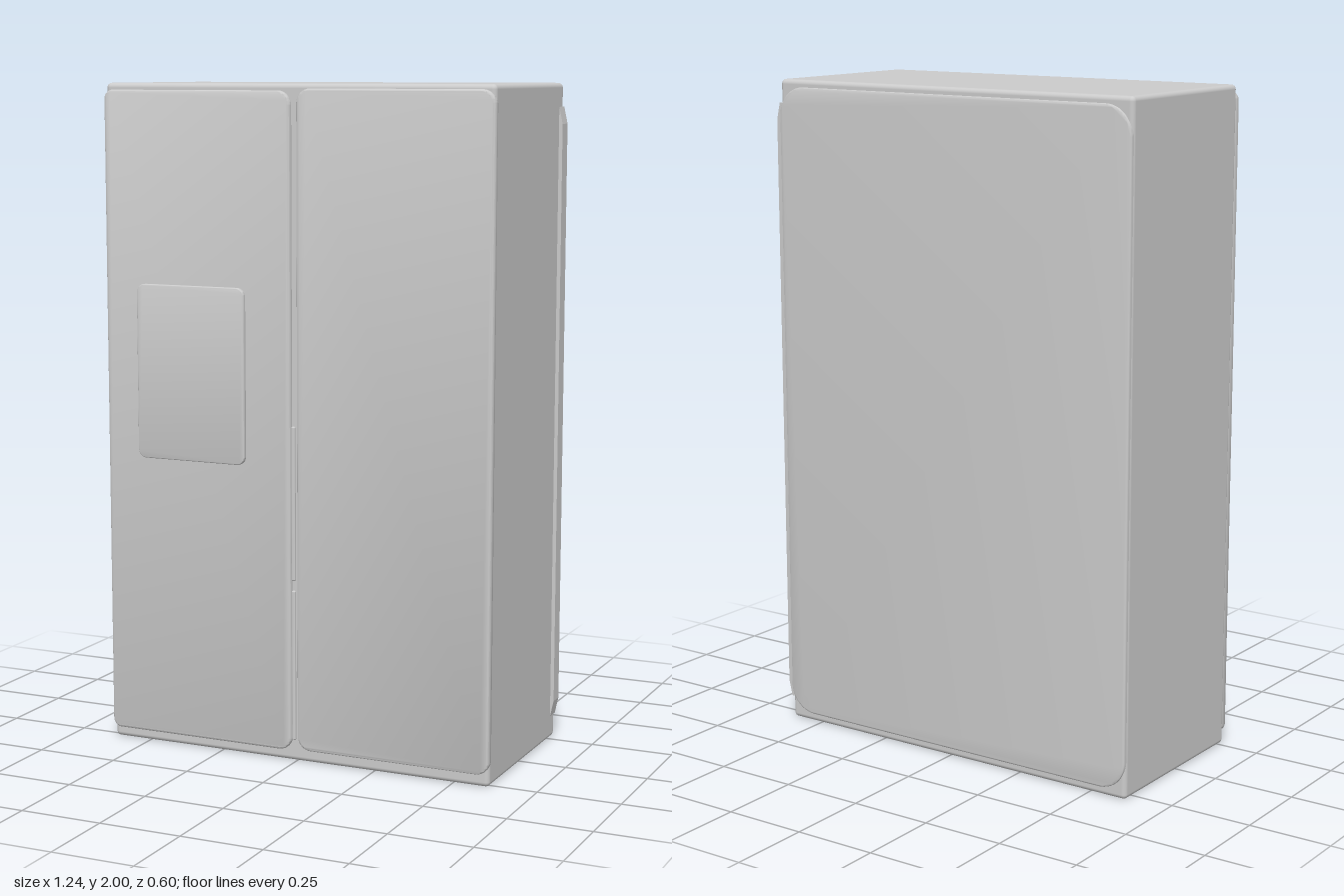
import * as THREE from 'three';
import { toCreasedNormals } from 'three/addons/utils/BufferGeometryUtils.js';
import { RoundedBoxGeometry } from 'three/addons/geometries/RoundedBoxGeometry.js';

const material = new THREE.MeshStandardMaterial({ color: 0xcccccc });

// Rectangle outline with its own radius for the -x and +x corners
function roundedRect(x0, x1, y0, y1, rl, rr) {
  const s = new THREE.Shape();
  s.moveTo(x0 + rl, y0);
  s.lineTo(x1 - rr, y0);
  s.absarc(x1 - rr, y0 + rr, rr, -Math.PI / 2, 0);
  s.absarc(x1 - rr, y1 - rr, rr, 0, Math.PI / 2);
  s.absarc(x0 + rl, y1 - rl, rl, Math.PI / 2, Math.PI);
  s.absarc(x0 + rl, y0 + rl, rl, Math.PI, Math.PI * 1.5);
  return s;
}

// Soft-edged panel spanning the given bounds
function panel(name, [x0, x1], [y0, y1], [z0, z1], rl, rr, b) {
  const shape = roundedRect(x0 + b, x1 - b, y0 + b, y1 - b, rl, rr);
  const geo = new THREE.ExtrudeGeometry(shape, {
    depth: z1 - z0 - 2 * b, bevelThickness: b, bevelSize: b, bevelSegments: 4, curveSegments: 8,
  });
  geo.translate(0, 0, z0 + b);
  const mesh = new THREE.Mesh(toCreasedNormals(geo, 0.6), material);
  mesh.name = name;
  return mesh;
}

function roundedBox(name, [x0, x1], [y0, y1], [z0, z1], r) {
  const mesh = new THREE.Mesh(new RoundedBoxGeometry(x1 - x0, y1 - y0, z1 - z0, 4, r), material);
  mesh.position.set((x0 + x1) / 2, (y0 + y1) / 2, (z0 + z1) / 2);
  mesh.name = name;
  return mesh;
}

export function createModel() {
  const group = new THREE.Group();
  group.name = 'refrigerator';

  // Cabinet and rounded back panel
  group.add(roundedBox('cabinet', [-0.622, 0.611], [0, 2], [-0.296, 0.274], 0.014));
  group.add(panel('backPanel', [-0.62, 0.611], [0.025, 1.978], [-0.302, -0.27], 0.08, 0.08, 0.006));

  // Doors
  group.add(panel('rightDoor', [-0.622, -0.012], [0.033, 1.98], [0.262, 0.288], 0.02, 0.035, 0.007));
  group.add(panel('leftDoor', [0.008, 0.615], [0.038, 1.986], [0.262, 0.288], 0.035, 0.035, 0.007));

  // Dispenser panel on the narrower door
  group.add(panel('dispenserPanel', [-0.512, -0.156], [0.887, 1.41], [0.28, 0.301], 0.022, 0.022, 0.004));

  // Recessed grips in the gap between the doors
  for (const range of [[0.065, 0.52], [0.55, 1.01]])
    group.add(roundedBox('gapGrip', [-0.013, -0.001], range, [0.266, 0.281], 0.004));

  // Slim upright strip along the rear of the left side, with tapered ends
  const profile = new THREE.Shape([
    [0.6, 0.07], [0.611, 0.07], [0.622, 0.12], [0.622, 1.88], [0.611, 1.93], [0.6, 1.93],
  ].map(([x, y]) => new THREE.Vector2(x, y)));
  const strip = new THREE.Mesh(
    new THREE.ExtrudeGeometry(profile, { depth: 0.045, bevelEnabled: false }), material);
  strip.position.z = -0.3;
  strip.name = 'sideStrip';
  group.add(strip);

  return group;
}
